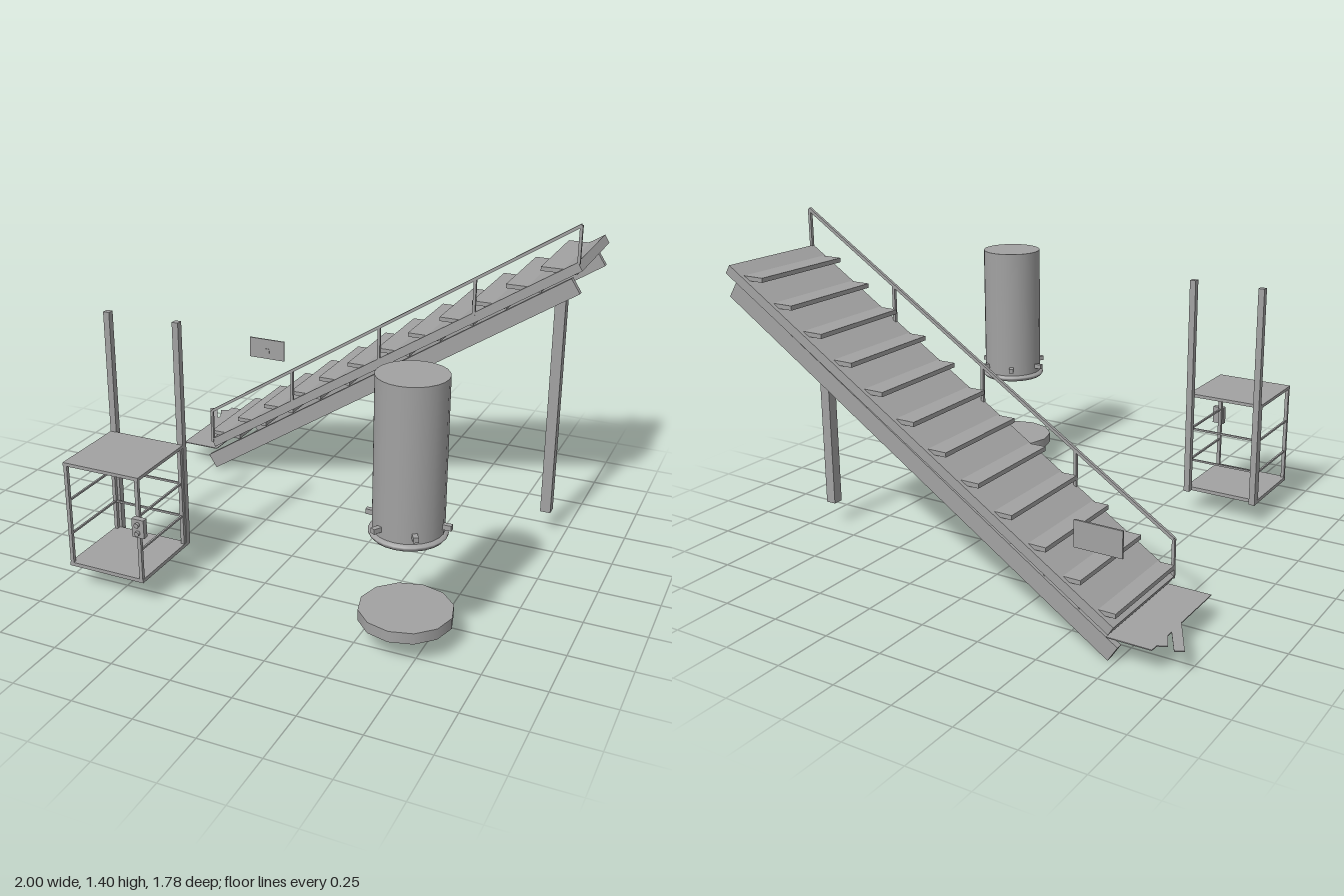
import * as THREE from 'three';

export function createModel() {
  const root = new THREE.Group();
  root.name = 'boardingSet';
  const grey = new THREE.MeshStandardMaterial({ color: 0xa2a2a2 });
  grey.name = 'steelGrey';
  const greyThin = grey;

  const group = (name) => {
    const g = new THREE.Group();
    g.name = name;
    root.add(g);
    return g;
  };
  const add = (parent, name, geo) => {
    const m = new THREE.Mesh(geo, greyThin);
    m.name = name;
    parent.add(m);
    return m;
  };
  // Box from its minimum and maximum corners
  const box = (parent, name, x0, x1, y0, y1, z0, z1) => {
    const m = add(parent, name, new THREE.BoxGeometry(x1 - x0, y1 - y0, z1 - z0));
    m.position.set((x0 + x1) / 2, (y0 + y1) / 2, (z0 + z1) / 2);
    return m;
  };
  // Sloping bar in the xy plane
  const bar = (parent, name, ax, ay, bx, by, thick, z0, z1) => {
    const m = add(parent, name, new THREE.BoxGeometry(Math.hypot(bx - ax, by - ay), thick, z1 - z0));
    m.position.set((ax + bx) / 2, (ay + by) / 2, (z0 + z1) / 2);
    m.rotation.z = Math.atan2(by - ay, bx - ax);
    return m;
  };

  // Staircase: two beams, sloping deck and treads passing through it
  const stairs = group('staircase');
  bar(stairs, 'frontBeam', -0.74, 0.031, 0.975, 1.14, 0.072, -0.42, -0.393);
  bar(stairs, 'backBeam', -0.74, 0.031, 0.975, 1.14, 0.072, -0.875, -0.848);
  bar(stairs, 'deck', -0.738, 0.125, 0.985, 1.222, 0.04, -0.887, -0.4);
  for (let k = 0; k < 12; k++) {
    const x = -0.748 + k * 0.1427, y = 0.178 + k * 0.0922;
    box(stairs, 'tread', x, x + 0.152, y - 0.009, y + 0.009, -0.87, -0.41);
  }
  box(stairs, 'supportPost', 0.892, 0.937, 0.1, 1.08, -0.45, -0.405);

  // Handrail along the front edge
  const handrail = group('handrail');
  bar(handrail, 'topRail', -0.742, 0.292, 0.98, 1.392, 0.013, -0.412, -0.399);
  for (let i = 0; i < 5; i++) {
    const x = -0.742 + i * 0.43, y = 0.292 + i * 0.275;
    box(handrail, 'railPost', x - 0.006, x + 0.006, y - 0.16, y, -0.412, -0.399);
  }

  // Torn landing plate at the foot, drawn in x and z
  const outline = [[-0.72, -0.4], [-0.9, -0.4], [-0.9, -0.655], [-1, -0.835], [-0.967, -0.852],
    [-0.9, -0.735], [-0.9, -0.765], [-0.935, -0.832], [-0.9, -0.852], [-0.9, -0.887], [-0.72, -0.887]];
  const shape = new THREE.Shape(outline.map(([x, z]) => new THREE.Vector2(x, -z)));
  const plate = add(stairs, 'landingPlate',
    new THREE.ExtrudeGeometry(shape, { depth: 0.004, bevelEnabled: false }));
  plate.rotation.x = -Math.PI / 2;
  plate.position.y = 0.096;

  // Sign board with a small hook
  const sign = group('signBoard');
  box(sign, 'board', -0.78, -0.587, 0.41, 0.514, -0.886, -0.878);
  box(sign, 'hook', -0.69, -0.67, 0.44, 0.465, -0.878, -0.873);

  // Lift cage with two tall guide posts
  const lift = group('liftCage');
  box(lift, 'floor', -0.7, -0.357, 0.098, 0.114, 0.51, 0.85);
  box(lift, 'roof', -0.7, -0.357, 0.54, 0.554, 0.51, 0.85);
  for (const x of [-0.7, -0.384]) {
    box(lift, 'guidePost', x, x + 0.027, 0.098, 1.072, 0.485, 0.512);
  }
  for (const x of [-0.698, -0.374]) {
    for (const z of [0.515, 0.835]) {
      box(lift, 'cornerPost', x, x + 0.015, 0.11, 0.545, z, z + 0.015);
    }
  }
  for (const y of [0.24, 0.387]) {
    box(lift, 'backRail', -0.69, -0.367, y - 0.004, y + 0.004, 0.518, 0.526);
    for (const x of [-0.694, -0.37]) {
      box(lift, 'sideRail', x, x + 0.008, y - 0.004, y + 0.004, 0.52, 0.845);
    }
  }

  // Control box with two buttons
  const control = group('controlBox');
  box(control, 'housing', -0.378, -0.325, 0.313, 0.391, 0.852, 0.876);
  for (const y of [0.334, 0.37]) {
    const b = add(control, 'button', new THREE.CylinderGeometry(0.01, 0.01, 0.014, 10));
    b.rotation.x = Math.PI / 2;
    b.position.set(-0.351, y, 0.882);
  }

  // Capsule: drum with a flared foot ring and six lugs
  const capsule = group('capsule');
  capsule.position.set(0.668, 0, 0.65);
  const cyl = (name, rTop, rBottom, y0, y1, sides) => {
    const m = add(capsule, name, new THREE.CylinderGeometry(rTop, rBottom, y1 - y0, sides));
    m.position.y = (y0 + y1) / 2;
    return m;
  };
  cyl('drum', 0.134, 0.134, 0.465, 1.075, 24);
  const ring = [[0.115, 0.452], [0.138, 0.452], [0.147, 0.463], [0.147, 0.47], [0.134, 0.478], [0.115, 0.478], [0.115, 0.452]];
  add(capsule, 'footRing', new THREE.LatheGeometry(ring.map(([r, y]) => new THREE.Vector2(r, y)), 24));
  for (let i = 0; i < 6; i++) {
    const a = i * Math.PI / 3;
    const lug = add(capsule, 'lug', new THREE.BoxGeometry(0.036, 0.02, 0.02));
    lug.position.set(Math.cos(a) * 0.148, 0.511, Math.sin(a) * 0.148);
    lug.rotation.y = -a;
  }

  // Round base below the capsule
  const base = cyl('capsuleBase', 0.182, 0.182, 0.096, 0.141, 12);
  base.rotation.y = Math.PI / 2;

  return root;
}
